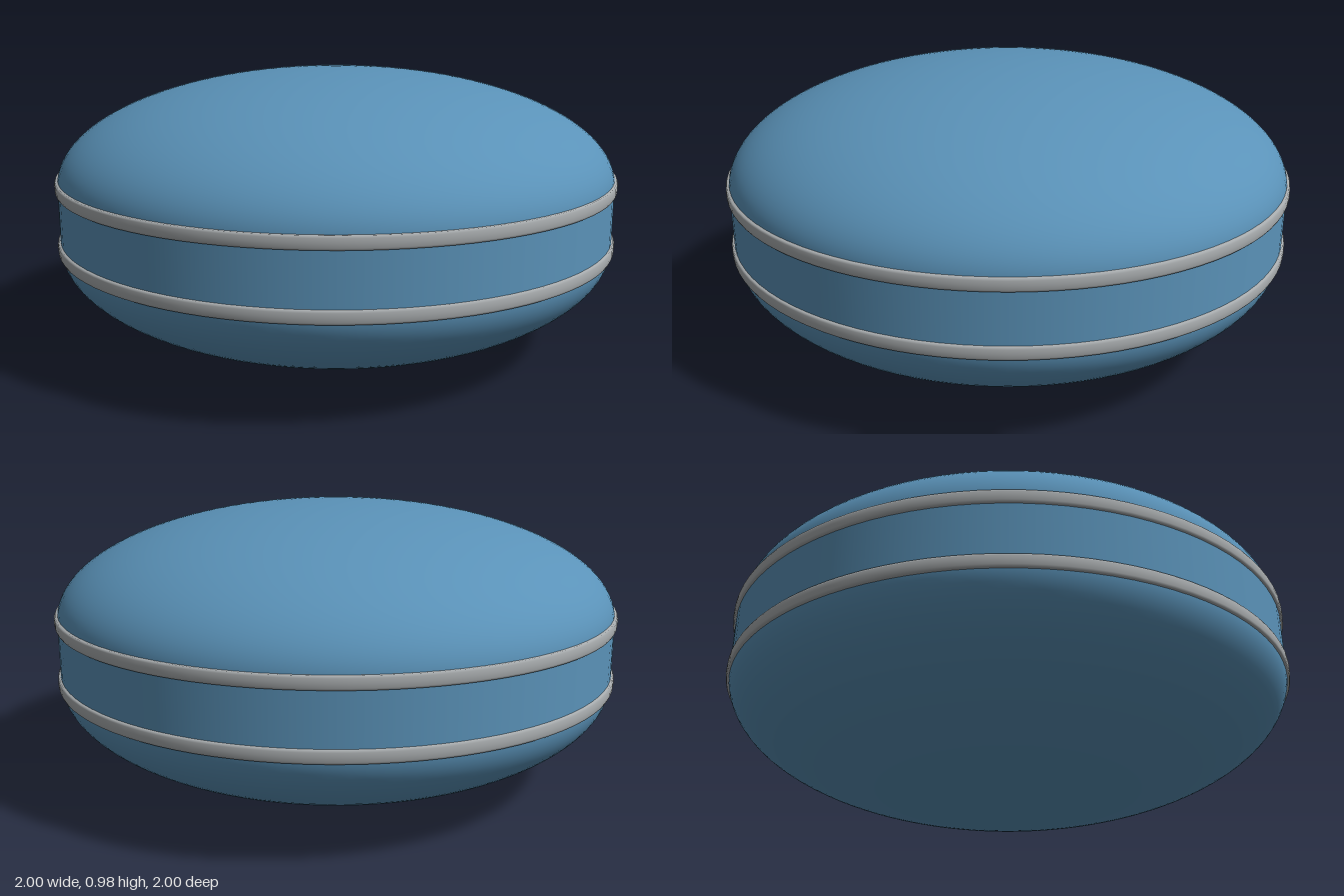
import * as THREE from 'three';

const SEGMENTS = 96;
const RADIUS = 0.99;
const BASE = 0.005;   // lowest point of the lower dome
const DOME = 0.383;   // height of each dome
const LOWER = 0.39, UPPER = 0.603; // seam heights

export function createModel() {
  const group = new THREE.Group();
  const blue = new THREE.MeshStandardMaterial({ color: 0x5a92b8 });
  blue.name = 'blue shell';
  const grey = new THREE.MeshStandardMaterial({ color: 0xa8acae });
  grey.name = 'grey trim';

  const add = (name, geometry, material, y) => {
    const mesh = new THREE.Mesh(geometry, material);
    mesh.name = name;
    mesh.position.y = y;
    group.add(mesh);
    return mesh;
  };

  // Flattened half-ellipsoid shells
  const dome = (start) => new THREE.SphereGeometry(1, SEGMENTS, 32, 0, Math.PI * 2, start, Math.PI / 2)
    .scale(RADIUS, DOME, RADIUS);
  add('upperDome', dome(0), blue, UPPER);
  add('lowerDome', dome(Math.PI / 2), blue, BASE + DOME);

  // Straight wall between the two seams
  const wall = new THREE.CylinderGeometry(RADIUS, RADIUS, UPPER - LOWER + 0.004, SEGMENTS, 1, true);
  add('middleWall', wall, blue, (UPPER + LOWER) / 2);

  // Thin rounded trim rings over the seams
  const profile = [[0.982, -0.022], [0.996, -0.021], [0.999, -0.014], [1, 0],
    [0.999, 0.014], [0.996, 0.021], [0.982, 0.022]].map(([x, y]) => new THREE.Vector2(x, y));
  const ring = new THREE.LatheGeometry(profile, SEGMENTS);
  add('upperRing', ring, grey, UPPER);
  add('lowerRing', ring, grey, LOWER);

  // Rest the lowest point on the ground
  group.children.forEach((mesh) => { mesh.position.y -= BASE; });
  return group;
}
